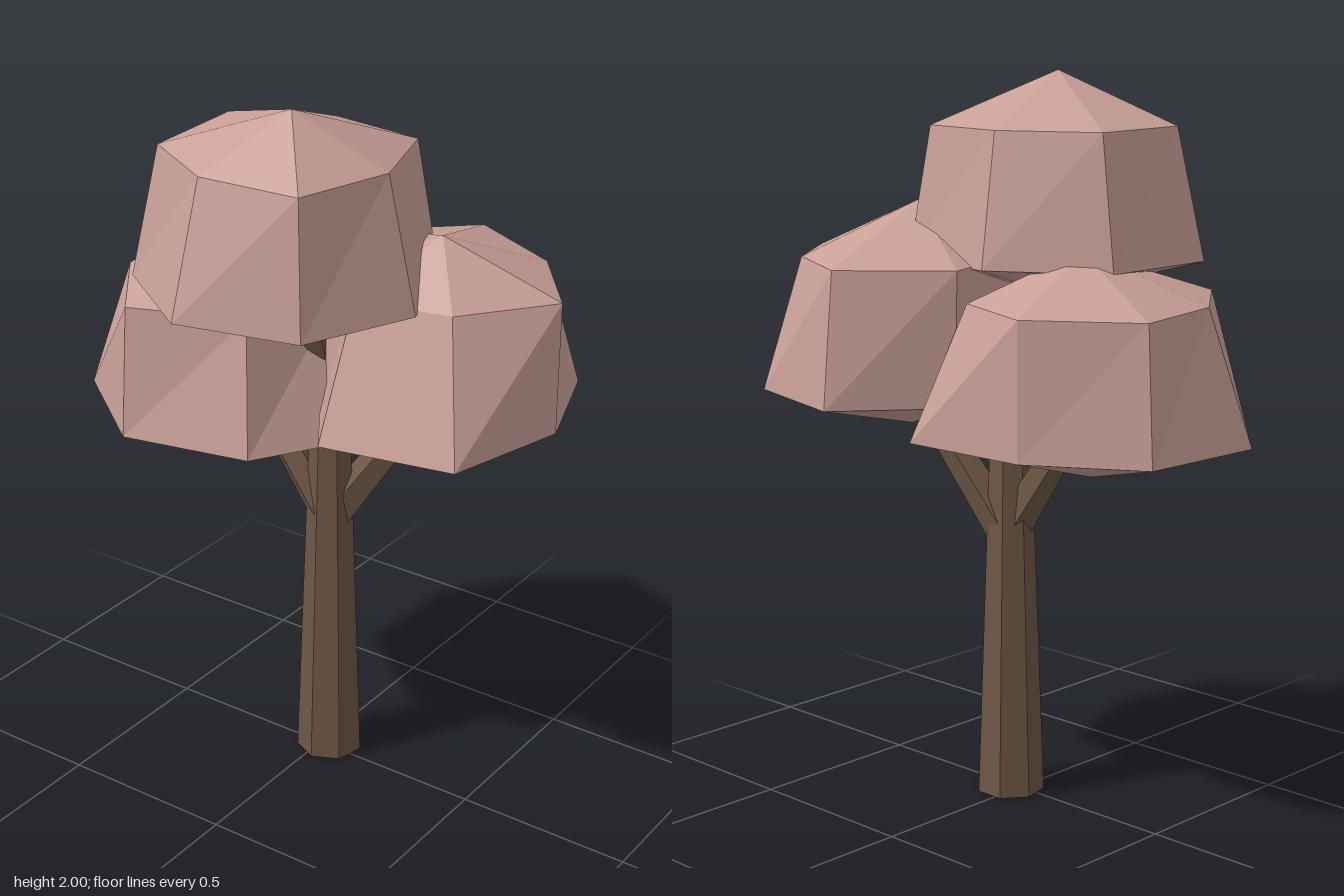
import * as THREE from 'three';

const bark = new THREE.MeshStandardMaterial({ color: 0x6e5744, flatShading: true });
const leaf = new THREE.MeshStandardMaterial({ color: 0xc9a098, flatShading: true });

// Tapered, faceted limb between two points
function limb(name, from, to, r0, r1, sides) {
  const a = new THREE.Vector3(...from), b = new THREE.Vector3(...to);
  const dir = b.clone().sub(a);
  const mesh = new THREE.Mesh(new THREE.CylinderGeometry(r1, r0, dir.length(), sides), bark);
  mesh.position.copy(a).add(b).multiplyScalar(0.5);
  mesh.quaternion.setFromUnitVectors(new THREE.Vector3(0, 1, 0), dir.normalize());
  mesh.name = name;
  return mesh;
}

// Faceted foliage clump: bottom tip, wide lower ring, narrower upper ring, top tip.
// Ring corners are [x, z] and run from +x towards +z.
function clump(name, { bottom, lowerY, lower, upperY, upper, top }) {
  const n = lower.length;
  const points = [
    ...lower.map(([x, z]) => [x, lowerY, z]),
    ...upper.map(([x, z]) => [x, upperY, z]),
    bottom, top,
  ];
  const index = [];
  for (let i = 0; i < n; i++) {
    const j = (i + 1) % n;
    index.push(2 * n, i, j);
    index.push(i, n + i, j, n + i, n + j, j);
    index.push(n + i, 2 * n + 1, n + j);
  }
  const geo = new THREE.BufferGeometry();
  geo.setAttribute('position', new THREE.Float32BufferAttribute(points.flat(), 3));
  geo.setIndex(index);
  const flat = geo.toNonIndexed();
  flat.computeVertexNormals();
  const mesh = new THREE.Mesh(flat, leaf);
  mesh.name = name;
  return mesh;
}

export function createModel() {
  const tree = new THREE.Group();
  tree.name = 'tree';

  // Trunk and branches
  tree.add(
    limb('trunk', [0.022, 0, -0.018], [0.022, 1.04, -0.018], 0.095, 0.058, 7),
    limb('topBranch', [0.022, 0.98, -0.018], [0.03, 1.5, 0.12], 0.056, 0.035, 5),
    limb('rightSideBranch', [0.01, 0.78, -0.01], [-0.22, 1.12, 0.02], 0.055, 0.035, 5),
    limb('leftSideBranch', [0.03, 0.76, -0.03], [0.26, 1.12, -0.12], 0.055, 0.04, 5),
  );

  // Foliage
  tree.add(
    clump('topFoliage', {
      bottom: [0.02, 1.39, 0.16],
      lowerY: 1.5,
      lower: [[0.4, 0.155], [0.27, 0.465], [-0.07, 0.54], [-0.36, 0.34], [-0.36, -0.03], [-0.06, -0.21], [0.27, -0.155]],
      upperY: 1.86,
      upper: [[0.315, 0.155], [0.24, 0.43], [-0.05, 0.445], [-0.29, 0.305], [-0.31, -0.02], [-0.05, -0.15], [0.225, -0.115]],
      top: [0.08, 2, 0.235],
    }),
    clump('leftFoliage', {
      bottom: [0.29, 1.035, -0.13],
      lowerY: 1.14,
      lower: [[0.66, -0.125], [0.57, 0.225], [0.2, 0.295], [0.05, 0.07], [-0.03, -0.28], [0.19, -0.545], [0.545, -0.45]],
      upperY: 1.505,
      upper: [[0.66, -0.125], [0.48, 0.11], [0.22, 0.16], [0.06, 0.04], [-0.04, -0.28], [0.2, -0.5], [0.48, -0.36]],
      top: [0.35, 1.645, -0.045],
    }),
    clump('rightFoliage', {
      bottom: [-0.26, 0.945, 0],
      lowerY: 1.055,
      lower: [[0.2, 0], [0, 0.33], [-0.36, 0.405], [-0.665, 0.17], [-0.645, -0.205], [-0.35, -0.38], [0.03, -0.39]],
      upperY: 1.42,
      upper: [[0.05, 0], [-0.05, 0.26], [-0.36, 0.375], [-0.555, 0.12], [-0.615, -0.19], [-0.345, -0.375], [-0.06, -0.265]],
      top: [-0.22, 1.55, 0],
    }),
  );
  return tree;
}
